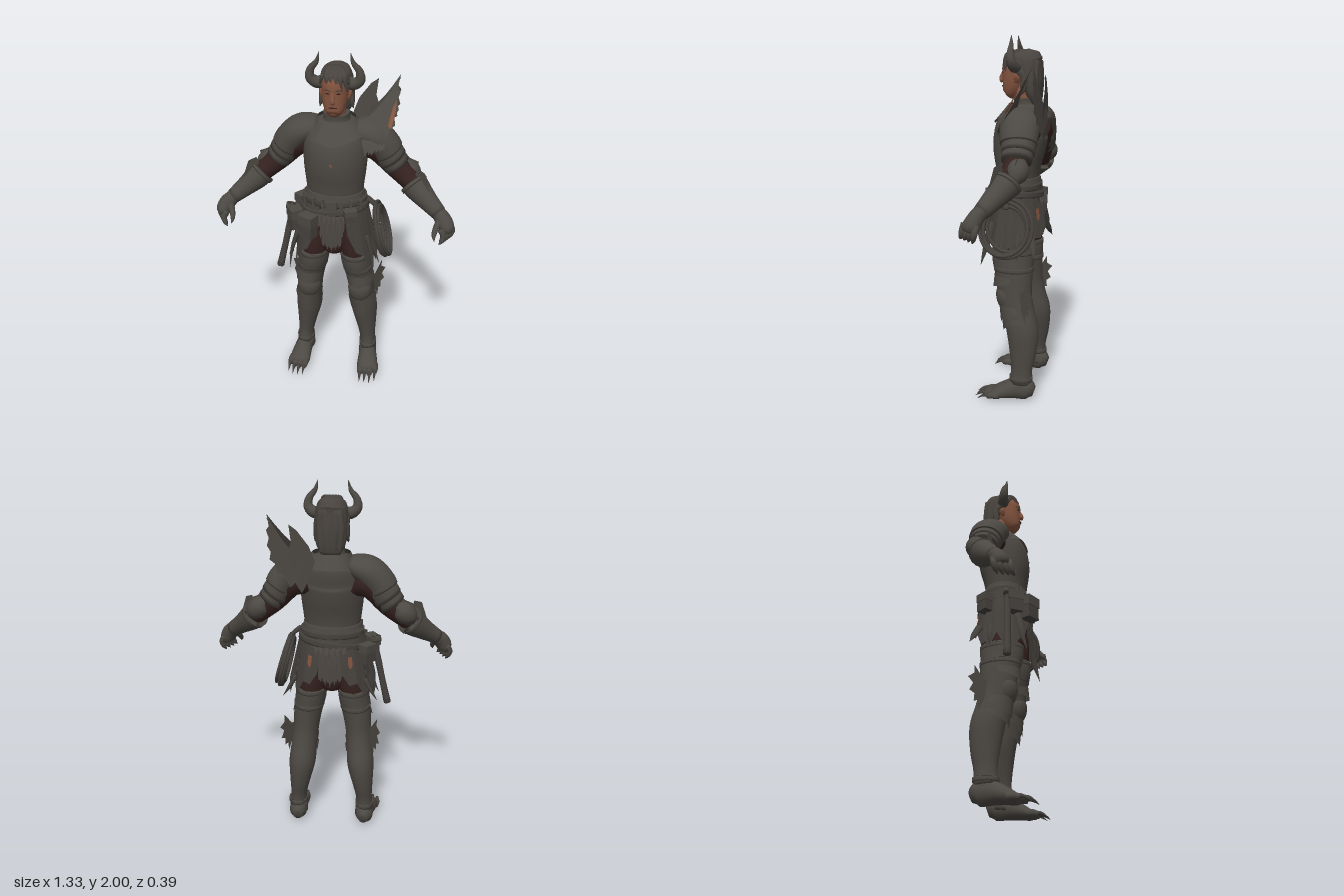
import * as THREE from 'three';

const mat = (name, color, both) => {
  const m = new THREE.MeshStandardMaterial({ color, side: both ? THREE.DoubleSide : THREE.FrontSide });
  m.name = name;
  return m;
};

export function createModel() {
  const root = new THREE.Group();
  root.name = 'armouredFigure';
  const steel = mat('dark steel', 0x4c4843, true);
  const leather = mat('worn leather', 0x45413d, true);
  const cloth = mat('maroon cloth', 0x35221f, true);
  const skin = mat('skin', 0x84543f, true);
  const hair = mat('hair', 0x49443f, true);
  const dark = mat('eye dark', 0x2c211e);
  const add = (name, geo, m) => {
    const mesh = new THREE.Mesh(geo, m);
    mesh.name = name;
    root.add(mesh);
    return mesh;
  };
  const jag = (u, n) => Math.abs(((u * n) % 1) * 2 - 1);

  // Smooth elliptical body swept through points [x, y, z, radiusAcross, radiusTowardRef]
  const sweep = (name, m, pts, { s = 1, seg = 18, k = 4, ref = [0, 0, 1] } = {}) => {
    const path = new THREE.CatmullRomCurve3(pts.map(p => new THREE.Vector3(p[0] * s, p[1], p[2])), false, 'catmullrom');
    const rad = new THREE.CatmullRomCurve3(pts.map(p => new THREE.Vector3(p[3], p[4] ?? p[3], 0)), false, 'catmullrom');
    const rows = (pts.length - 1) * k, pos = [], idx = [];
    for (let i = 0; i <= rows; i++) {
      const c = path.getPoint(i / rows), r = rad.getPoint(i / rows), t = path.getTangent(i / rows);
      const b = new THREE.Vector3(...ref).addScaledVector(t, -t.dot(new THREE.Vector3(...ref))).normalize();
      const a = new THREE.Vector3().crossVectors(b, t);
      for (let j = 0; j < seg; j++) {
        const w = j / seg * Math.PI * 2;
        const p = c.clone().addScaledVector(a, Math.cos(w) * Math.max(r.x, 0)).addScaledVector(b, Math.sin(w) * Math.max(r.y, 0));
        pos.push(p.x, p.y, p.z);
        if (i < rows) {
          const q = i * seg + j, n = i * seg + (j + 1) % seg;
          idx.push(q, n, q + seg, n, n + seg, q + seg);
        }
      }
    }
    const base = pos.length / 3, a = path.getPoint(0), z = path.getPoint(1);
    pos.push(a.x, a.y, a.z, z.x, z.y, z.z);
    for (let j = 0; j < seg; j++) {
      const n = (j + 1) % seg;
      idx.push(base, n, j, base + 1, rows * seg + j, rows * seg + n);
    }
    const g = new THREE.BufferGeometry();
    g.setAttribute('position', new THREE.Float32BufferAttribute(pos, 3));
    g.setIndex(idx);
    g.computeVertexNormals();
    return add(name, g, m);
  };

  // Curved sheet round a vertical axis; the lower edge height is a function of u
  const sheet = (name, m, c, c2, a0, a1, y0, y1, rt, rb, n = 36) => {
    const g = new THREE.PlaneGeometry(1, 1, n, 4), p = g.attributes.position;
    for (let i = 0; i < p.count; i++) {
      const u = p.getX(i) + 0.5, v = 0.5 - p.getY(i), w = a0 + (a1 - a0) * u;
      const mix = (a, b) => a + (b - a) * v;
      p.setXYZ(i, mix(c[0], c2[0]) + Math.cos(w) * mix(rt[0], rb[0]), mix(y0, y1(u)), mix(c[1], c2[1]) + Math.sin(w) * mix(rt[1], rb[1]));
    }
    g.computeVertexNormals();
    return add(name, g, m);
  };

  // Flat blade cut from an outline, with depth given by zAt(x, y)
  const blade = (name, m, pts, s, zAt) => {
    const g = new THREE.ShapeGeometry(new THREE.Shape(pts.map(p => new THREE.Vector2(p[0] * s, p[1]))));
    const p = g.attributes.position;
    for (let i = 0; i < p.count; i++) p.setZ(i, zAt(Math.abs(p.getX(i)), p.getY(i)));
    g.computeVertexNormals();
    return add(name, g, m);
  };

  // Torso, gorget and collar
  sweep('breastplate', steel, [[0, 1.22, -.01, .15, .112], [0, 1.3, -.01, .16, .122], [0, 1.4, -.015, .17, .142],
    [0, 1.5, -.03, .172, .145], [0, 1.57, -.06, .158, .118], [0, 1.62, -.065, .11, .085], [0, 1.64, -.065, .06, .06]], { seg: 32 });
  sheet('gorget', steel, [0, -.055], [0, -.035], -Math.PI / 2, Math.PI * 1.5, 1.645,
    u => 1.575 - .075 * Math.max(0, 1 - Math.abs(u - .75) * 6) - .04 * Math.max(0, 1 - Math.abs(u - .5) * 7), [.1, .095], [.165, .155], 48).rotation.set(0, 0, 0);
  sweep('collar', steel, [[0, 1.6, -.055, .085, .078], [0, 1.645, -.05, .07, .064], [0, 1.675, -.047, .07, .062]]);
  sweep('waistPlate', steel, [[0, 1.2, -.01, .172, .128], [0, 1.225, -.01, .163, .124], [0, 1.25, -.01, .158, .12]], { seg: 32 });
  sweep('hips', cloth, [[0, .86, -.01, .06, .08], [0, .94, -.01, .15, .105], [0, 1.08, -.01, .172, .12], [0, 1.23, -.01, .153, .11]], { seg: 28 });
  blade('chestScratch', skin, [[-.012, 1.445], [0, 1.452], [.008, 1.43], [-.004, 1.436]], 1, () => .1325);

  // Head and face
  sweep('neck', skin, [[0, 1.6, -.05, .052], [0, 1.74, -.03, .05]]);
  sweep('head', skin, [[0, 1.683, .052, .012, .014], [0, 1.695, .042, .04, .04], [0, 1.735, .02, .059, .062],
    [0, 1.79, 0, .068, .08], [0, 1.85, -.01, .068, .085], [0, 1.9, -.02, .05, .06]], { seg: 24 });
  sweep('nose', skin, [[0, 1.815, .07, .006, .008], [0, 1.785, .083, .011, .012], [0, 1.765, .084, .015, .011], [0, 1.758, .078, .006]], { seg: 10 });
  sweep('lips', cloth, [[-.022, 1.734, .07, .002], [0, 1.737, .08, .004], [.022, 1.734, .07, .002]], { seg: 8 });
  for (const s of [-1, 1]) {
    sweep('eye', dark, [[.016, 1.808, .073, .001], [.027, 1.81, .072, .004], [.04, 1.807, .063, .001]], { s, seg: 8 });
    sweep('eyebrow', hair, [[.012, 1.821, .075, .002], [.03, 1.828, .072, .004], [.048, 1.821, .059, .002]], { s, seg: 8 });
    sweep('ear', skin, [[.064, 1.755, -.015, .006, .012], [.075, 1.785, -.022, .01, .02], [.075, 1.812, -.025, .006, .013]], { s, seg: 10 });
    // Curling horns
    sweep('horn', steel, [[.055, 1.845, -.015, .032], [.095, 1.838, -.01, .031], [.127, 1.865, 0, .026], [.122, 1.91, .005, .019],
      [.092, 1.95, .008, .012], [.078, 2, .01, .001]], { s, seg: 14 });
    // Hair swept back past the ears
    sweep('sideLock', hair, [[.05, 1.89, .01, .014, .03], [.075, 1.84, -.01, .012, .026], [.081, 1.79, -.055, .012, .018], [.08, 1.73, -.055, .014, .018], [.088, 1.695, -.045, .002]], { s, seg: 10 });
  }
  sweep('hairCap', hair, [[0, 1.64, -.105, .05, .022], [0, 1.7, -.095, .078, .043], [0, 1.78, -.083, .084, .06],
    [0, 1.855, -.048, .084, .096], [0, 1.905, -.042, .066, .082], [0, 1.928, -.04, .02, .03]], { seg: 24 });
  for (let i = 0; i < 5; i++) {
    const x = -.035 + i * .022, dip = .012 * Math.abs(i - 1);
    sweep('fringeLock', hair, [[x * .6 - .01, 1.915, -.02, .016], [x * .9, 1.9, .036, .019, .014], [x + .004, 1.868, .06 - x * x * 5, .013], [x + .014, 1.85 - dip, .066 - x * x * 7, .002]], { seg: 8 });
    sweep('backLock', hair, [[x - .01, 1.87, -.12, .018, .014], [(x - .01) * 1.2, 1.77, -.13 + x * x * 4, .02, .014], [(x - .01) * 1.1, 1.66, -.125, .006]], { seg: 8 });
  }

  for (const s of [-1, 1]) {
    const S = { s };
    // Arm and shoulder plates
    sweep('sleeve', cloth, [[.13, 1.51, -.07, .088, .09], [.22, 1.48, -.073, .08, .088], [.31, 1.38, -.078, .066], [.42, 1.285, -.05, .056], [.5, 1.215, 0, .045]], S);
    sweep('pauldron', steel, [[.09, 1.59, -.065, .04, .075], [.14, 1.575, -.065, .066, .1], [.2, 1.548, -.068, .082, .108],
      [.25, 1.495, -.072, .086, .1], [.275, 1.455, -.075, .084, .096]], { s, seg: 26 });
    for (let i = 0; i < 2; i++)
      sweep('upperArmPlate', steel, [[.262 + i * .025, 1.465 - i * .035, -.075, .084 - i * .008, .092 - i * .008], [.3 + i * .025, 1.41 - i * .033, -.077, .08 - i * .007, .086 - i * .006]], { s, seg: 24 });
    sweep('elbowGuard', steel, [[.345, 1.385, -.115, .02], [.37, 1.36, -.105, .052], [.405, 1.325, -.095, .055], [.435, 1.29, -.08, .03]], S);
    blade('elbowSpike', steel, [[.33, 1.38], [.36, 1.44], [.39, 1.41], [.44, 1.39], [.43, 1.32]], s, () => -.1);
    sweep('gauntletCuff', steel, [[.425, 1.28, -.052, .074], [.455, 1.252, -.032, .068], [.505, 1.212, 0, .055], [.57, 1.163, .04, .042]], S);
    sweep('gauntletRim', steel, [[.415, 1.288, -.057, .077], [.43, 1.274, -.048, .077]], S);
    blade('gauntletPoint', steel, [[.42, 1.32], [.44, 1.385], [.48, 1.37], [.52, 1.25], [.46, 1.25]], s, x => -.05 + (x - .4) * .6);
    // Clawed hand
    sweep('palm', steel, [[.56, 1.17, .036, .038], [.595, 1.138, .06, .044, .04], [.62, 1.098, .078, .04, .045], [.63, 1.075, .086, .02, .03]], S);
    for (let i = 0; i < 4; i++) {
      const z = .045 + i * .025, x = .642 - i * .015;
      sweep('finger', steel, [[x - .012, 1.11, z, .017], [x + .006, 1.075, z + .006, .016], [x - .002, 1.045, z + .014, .013], [x - .015, 1.02 + i * .003, z + .024, .001]], { s, seg: 10 });
    }
    sweep('thumb', steel, [[.575, 1.14, .075, .018], [.56, 1.105, .105, .016], [.553, 1.075, .13, .012], [.558, 1.05, .15, .001]], { s, seg: 10 });

    // Leg armour
    sweep('thighCloth', cloth, [[.1, 1.02, -.01, .085, .11], [.113, .9, -.01, .084, .113], [.12, .8, -.01, .078, .1]], S);
    sweep('legArmour', steel, [[.12, .86, -.01, .088, .118], [.125, .8, -.01, .088, .117], [.142, .7, -.02, .08, .102], [.153, .6, -.027, .074, .095],
      [.162, .5, -.052, .074, .088], [.171, .4, -.075, .077, .09], [.185, .28, -.08, .06, .076], [.195, .18, -.075, .047, .06], [.2, .1, -.07, .05, .065]], { s, seg: 24 });
    for (const [x, y, z, a, b] of [[.12, .85, -.01, .09, .12], [.133, .755, -.015, .087, .112], [.198, .13, -.072, .053, .067]])
      sweep('legBand', steel, [[x, y + .012, z, a, b], [x, y - .012, z, a, b]], { s, seg: 24 });
    sweep('kneeCap', steel, [[.148, .675, .01, .02, .02], [.15, .64, .015, .06, .055], [.152, .595, .018, .07, .062], [.155, .545, .008, .055, .05], [.158, .515, 0, .015, .02]], S);
    for (let i = 0; i < 2; i++)
      sheet('shinPlate', steel, [s * .155, -.03 - i * .012], [s * .165, -.045 - i * .014], -.15, Math.PI + .15, .555 - i * .05,
        u => .52 - i * .05 - .075 * (1 - Math.abs(u - .5) * 2), [.077, .091], [.079, .095], 24);
    sheet('thighPoint', steel, [s * .142, -.015], [s * .15, -.01], 0, Math.PI, .72, u => .685 - .04 * (1 - Math.abs(u - .5) * 2), [.082, .106], [.082, .106], 24);
    // Finned wing sweeping back from the knee
    blade('kneeFin', steel, [[.2, .63], [.23, .645], [.262, .715], [.262, .67], [.283, .645], [.265, .615], [.278, .575], [.26, .56], [.262, .52], [.248, .525], [.245, .475], [.225, .54], [.2, .56]],
      s, x => -.045 - (x - .2) * 1.3);
    // Clawed foot
    sweep('foot', steel, [[.195, .05, -.145, .025, .03], [.198, .062, -.11, .05, .06], [.203, .066, -.05, .052, .062], [.21, .05, .02, .06, .046], [.215, .03, .08, .063, .029], [.217, .024, .1, .045, .02]],
      { s, ref: [0, 1, 0] });
    sweep('ankle', steel, [[.197, .05, -.075, .054, .068], [.198, .11, -.07, .05, .064]], S);
    for (let i = 0; i < 4; i++) {
      const x = .172 + i * .03, f = i === 3 ? -.02 : 0;
      sweep('toe', steel, [[x, .032, .06 + f, .018], [x + .002, .034, .1 + f, .02], [x + .004, .026, .13 + f, .014]], { s, seg: 10, ref: [0, 1, 0] });
      sweep('toeClaw', leather, [[x + .003, .034, .12 + f, .012], [x + .005, .03, .15 + f, .008], [x + .006, .008, .185 + f, .001]], { s, seg: 8, ref: [0, 1, 0] });
    }
    // Hip panels, cut away toward the crotch, with torn side and rear panels
    const side = w => s > 0 ? w : Math.PI - w;
    sheet('frontTasset', leather, [0, -.01], [s * .012, 0], side(.2), side(1.2), 1.21, u => .8 + .2 * u * u + .03 * jag(u, 2), [.17, .125], [.215, .145]);
    sheet('sideTasset', leather, [0, -.01], [s * .02, -.01], side(-.55), side(.5), 1.21, u => .82 + .08 * jag(u, 2), [.172, .126], [.225, .165]);
    sheet('rearTasset', leather, [0, -.01], [s * .01, -.015], side(-1.3), side(-.4), 1.21, u => .96 - .13 * u + .04 * jag(u, 2), [.17, .125], [.21, .165]);
    for (let i = 0; i < 4; i++)
      sweep('tatter', leather, [[.19, 1.02 - i * .02, .09 - i * .07, .015, .022], [.225, .9, .115 - i * .085, .01, .018], [.235 + (i % 2) * .025, .79 + i * .02, .145 - i * .1, .001]], { s, seg: 6 });
    // Bare patches beside the rear fur
    sheet('hipPatch', skin, [0, -.012], [0, -.012], side(-1.05), side(-.92), 1.09, u => 1.02 + .02 * jag(u, 1), [.196, .154], [.204, .161], 4);
  }

  // Fur apron, front and back, in ragged narrowing layers
  for (const f of [1, -1])
    for (let i = 0; i < 4; i++) {
      const half = .3 + i * .05 + (f < 0 ? .06 : 0);
      sheet(f > 0 ? 'frontFur' : 'rearFur', hair, [0, -.01], [0, -.005], f * (Math.PI / 2 - half), f * (Math.PI / 2 + half), 1.18 - i * .01,
        u => .905 + i * .055 + .025 * jag(u + i * .13, 5) + .02 * jag(u, 11) + .06 * Math.abs(u - .5), [.17, .122 + i * .004], [.19, .135 + i * .006 + (f < 0 ? .012 : 0)], 64);
    }

  // Belts, buckle, pouches
  const belt = (name, y, r, tilt) => {
    const m = sweep(name, leather, [[0, -.018, 0, r, r * .74], [0, .018, 0, r, r * .74]], { seg: 32 });
    m.position.set(0, y, -.01);
    m.rotation.z = tilt;
  };
  belt('upperBelt', 1.2, .176, 0);
  belt('lowerBelt', 1.15, .189, .12);
  const box = (name, m, x, y, z, w, h, d, ry = 0) => {
    const b = add(name, new THREE.BoxGeometry(w, h, d), m);
    b.position.set(x, y, z);
    b.rotation.y = ry;
  };
  box('buckle', steel, 0, 1.2, .128, .06, .055, .014);
  for (const [x, y, z, w, h, d, ry] of [[-.125, 1.08, .145, .085, .13, .06, -.5], [-.212, 1.085, .075, .08, .12, .06, -1], [.1, 1.15, .122, .06, .07, .045, .4], [-.2, 1.1, -.09, .07, .1, .05, .9]]) {
    box('pouch', leather, x, y, z, w, h, d, ry);
    box('pouchFlap', steel, x, y + h * .28, z, w + .008, h * .45, d + .008, ry);
  }
  for (let i = 0; i < 7; i++) box('beltLoop', steel, -.15 + i * .05, 1.2, .123 - Math.abs(i - 3) * .013, .014, .06, .014, (i - 3) * .18);

  // Sheathed club on the right hip
  sweep('scabbard', leather, [[-.225, 1.13, .04, .016], [-.25, 1.02, .045, .019], [-.28, .88, .05, .018], [-.312, .74, .055, .021]], { seg: 12 });
  sweep('hilt', steel, [[-.235, 1.15, .04, .03, .02], [-.24, 1.12, .04, .03, .02]], { seg: 12 });

  // Coiled rope on the left hip
  for (let i = 0; i < 5; i++) {
    const coil = add('ropeCoil', new THREE.TorusGeometry(.118 + (i % 3) * .012, .0095, 8, 40), leather);
    coil.scale.y = 1.1;
    coil.rotation.set(0, Math.PI / 2, .2 + i * .02, 'ZYX');
    coil.position.set(.245 + i * .009, 1.01 - (i % 2) * .01, -.005 + (i - 2) * .005);
  }
  sweep('ropeStrap', leather, [[.18, 1.2, 0, .014, .02], [.225, 1.16, 0, .012, .02], [.25, 1.11, 0, .01, .016]], { seg: 8 });

  // Ragged wings on the left shoulder: one behind, one folded over the pauldron
  const wing = [[.12, 1.62], [.19, 1.67], [.24, 1.73], [.28, 1.79], [.316, 1.85], [.306, 1.79], [.322, 1.77], [.308, 1.73], [.32, 1.69], [.3, 1.66], [.308, 1.62],
    [.28, 1.6], [.27, 1.555], [.24, 1.55], [.2, 1.48], [.15, 1.53]];
  const fold = (x, y) => y > 1.62 ? -.03 - (y - 1.62) * .55 : .055 - (y - 1.47) * .5;
  blade('rearWing', steel, wing, 1, x => -.215 + .18 * x);
  blade('frontWing', steel, wing, 1, fold);
  blade('wingPatch', skin, [[.272, 1.62], [.288, 1.7], [.308, 1.74], [.304, 1.67], [.29, 1.61]], 1, (x, y) => fold(x, y) + .012);
  blade('backWing', steel, [[.07, 1.62], [.1, 1.7], [.16, 1.78], [.2, 1.81], [.19, 1.72], [.21, 1.66], [.19, 1.58], [.17, 1.5], [.14, 1.45], [.1, 1.53]], 1, (x, y) => -.185 - (y - 1.6) * .05);
  for (let i = 0; i < 5; i++) {
    const t = i / 4;
    sweep('wingQuill', steel, [[.13 + t * .02, 1.54 + t * .05, -.15, .012], [.2 + t * .03, 1.55 + t * .14, -.16, .01], [.225 + t * .09, 1.49 + t * .34, -.16, .001]], { seg: 6 });
    blade('shoulderFeather', steel, [[.13 + i * .02, 1.63 - i * .005], [.17 + i * .02, 1.64 - i * .01], [.2 + i * .016, 1.55 - i * .008], [.165 + i * .018, 1.475 + i * .006], [.15 + i * .02, 1.54]], 1,
      (x, y) => .068 - Math.max(0, y - 1.52) * .8 - i * .007);
  }

  return root;
}
